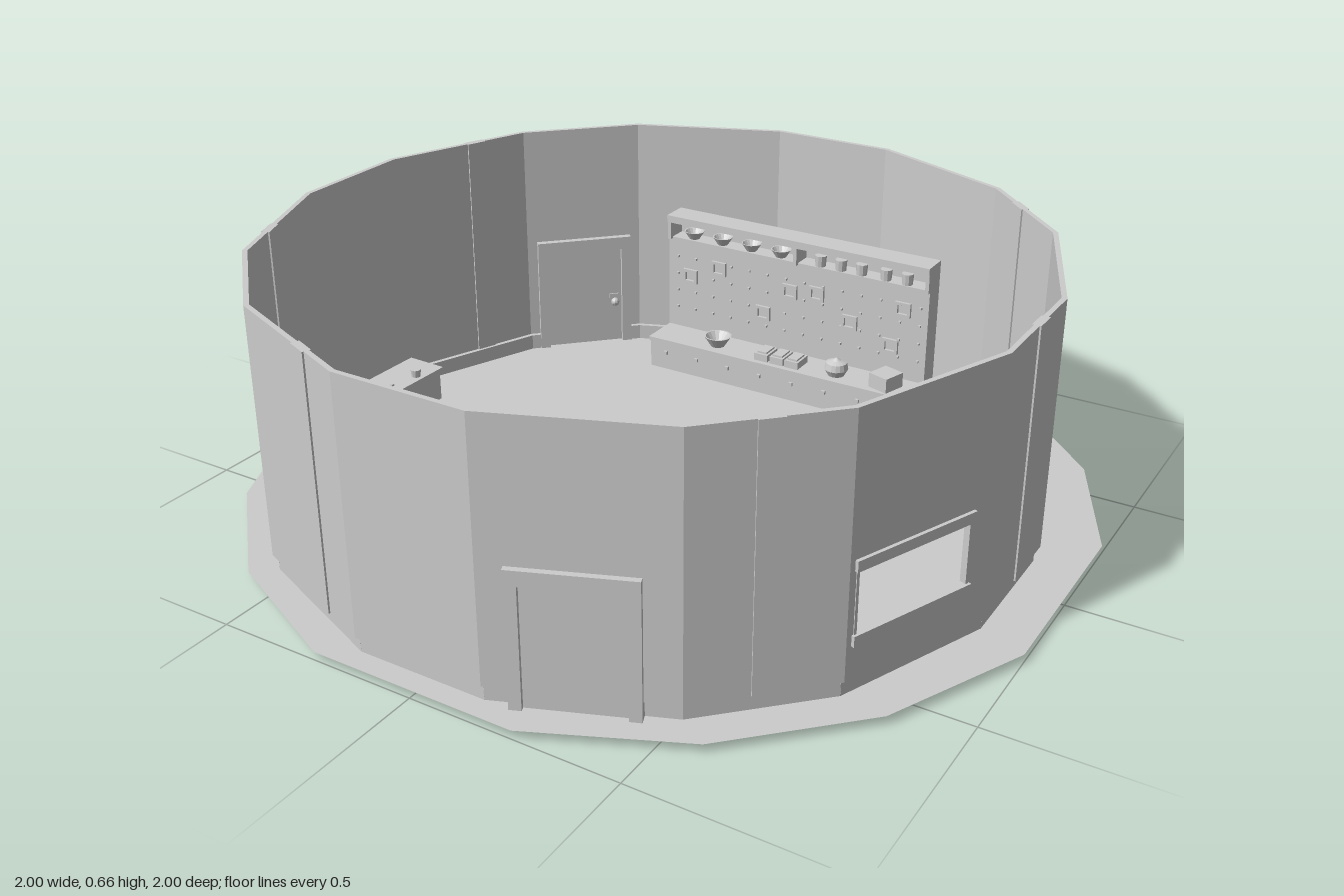
import * as THREE from 'three';

const grey = new THREE.MeshStandardMaterial({ color: 0xcccccc, side: THREE.DoubleSide, flatShading: true });
grey.name = 'plain grey';

const mesh = (name, geo, x = 0, y = 0, z = 0) => {
  const m = new THREE.Mesh(geo, grey);
  m.name = name;
  m.position.set(x, y, z);
  return m;
};
// box given by its lower and upper corner
const box = (name, x0, x1, y0, y1, z0, z1) =>
  mesh(name, new THREE.BoxGeometry(x1 - x0, y1 - y0, z1 - z0), (x0 + x1) / 2, (y0 + y1) / 2, (z0 + z1) / 2);
const group = (name, x = 0, y = 0, z = 0) => {
  const g = new THREE.Group();
  g.name = name;
  g.position.set(x, y, z);
  return g;
};
const poly = pts => new THREE.Shape(pts.map(p => new THREE.Vector2(p[0], p[1])));
const lathe = (pts, sides = 16) => new THREE.LatheGeometry(pts.map(p => new THREE.Vector2(p[0], p[1])), sides);

// sixteen corners from two points of one eighth, mirrored round the circle
function ring(far, near, mid, midNear) {
  const q = [[far, near], [mid, midNear], [midNear, mid], [near, far]];
  const out = [];
  for (let k = 0; k < 4; k++) {
    const c = [1, 0, -1, 0][k], s = [0, 1, 0, -1][k];
    q.forEach(([x, z]) => out.push([x * c - z * s, x * s + z * c]));
  }
  return out;
}

const DOOR_W = 0.106, WALL_BASE = 0.06, WALL_TOP = 0.66;

function door(x) {
  const g = group('door', x);
  for (const s of [-1, 1]) {
    const a = s * DOOR_W, b = s * 0.133;
    g.add(box('doorPost', Math.min(a, b), Math.max(a, b), 0, 0.31, -0.028, 0.012));
  }
  g.add(box('doorLintel', -0.133, 0.133, 0.305, 0.34, -0.03, 0.014));
  g.add(box('doorLeaf', -DOOR_W, DOOR_W, 0.015, 0.305, -0.014, 0));
  g.add(box('handlePlate', -0.098, -0.072, 0.12, 0.165, -0.018, -0.014));
  g.add(mesh('doorKnob', new THREE.SphereGeometry(0.012, 10, 8), -0.085, 0.145, -0.03));
  return g;
}

function wallSegment(A, B, i) {
  const dx = B[0] - A[0], dz = B[1] - A[1], L = Math.hypot(dx, dz), h = L / 2;
  const g = group('wallSegment', (A[0] + B[0]) / 2, 0, (A[1] + B[1]) / 2);
  g.rotation.y = Math.atan2(dz, -dx);
  const isDoor = i === 3 || i === 10, isWindow = i === 1;
  const dxo = i === 3 ? -0.01 : 0;

  // wall panel, notched for a door or pierced for a window
  const notch = isDoor ? [[dxo + DOOR_W, WALL_BASE], [dxo + DOOR_W, 0.31], [dxo - DOOR_W, 0.31], [dxo - DOOR_W, WALL_BASE]] : [];
  const shape = poly([[h, WALL_TOP], [-h, WALL_TOP], [-h, WALL_BASE], ...notch.reverse(), [h, WALL_BASE]]);
  if (isWindow) shape.holes.push(new THREE.Path(
    [[-0.177, 0.16], [-0.177, 0.315], [0.123, 0.315], [0.123, 0.16]].map(p => new THREE.Vector2(...p))));
  g.add(mesh('wallPanel', new THREE.ExtrudeGeometry(shape, { depth: 0.012, bevelEnabled: false }), 0, 0, -0.012));

  // skirting, interrupted by the doorway
  const hs = h - 0.002;
  const spans = isDoor ? [[-hs, dxo - 0.133], [dxo + 0.133, hs]] : [[-hs, hs]];
  spans.forEach(([a, b]) => g.add(box('skirting', a, b, 0.02, WALL_BASE + 0.001, -0.024, -0.012)));

  if (isDoor) g.add(door(dxo));
  if (isWindow) {
    g.add(box('windowSill', -0.187, 0.133, 0.14, 0.165, -0.022, 0.008));
    g.add(box('windowLintel', -0.187, 0.133, 0.31, 0.335, -0.022, 0.008));
    for (const x of [-0.183, 0.122]) g.add(box('windowJamb', x, x + 0.007, 0.16, 0.315, -0.014, 0.002));
  }

  // narrow vertical cover strips
  const strip = { 0: 0.02, 2: 0, 5: 0.06, 7: 0.05, 9: -0.05, 14: 0.03 }[i];
  if (strip !== undefined) g.add(box('coverStrip', strip - 0.027, strip + 0.027, WALL_BASE, WALL_TOP, -0.016, 0.004));
  return g;
}

const bowl = (r, h) => lathe([[0, 0], [r * 0.5, 0], [r, h], [r * 0.88, h], [r * 0.45, h * 0.25], [0, h * 0.25]]);

function workbench() {
  const g = group('workbench');
  g.add(box('counter', -0.4, 0.38, 0.02, 0.11, -0.7, -0.55));
  g.add(box('counterTop', -0.4, 0.38, 0.1, 0.112, -0.7, -0.54));
  g.add(box('pegBoard', -0.4, 0.38, 0.1, 0.375, -0.71, -0.65));
  g.add(box('shelfBack', -0.4, 0.38, 0.37, 0.425, -0.71, -0.7));
  g.add(box('topBoard', -0.4, 0.38, 0.42, 0.44, -0.71, -0.637));
  for (const x of [-0.4, -0.01, 0.37]) g.add(box('shelfDivider', x, x + 0.01, 0.37, 0.425, -0.71, -0.64));
  // bowls and cups in the shelf
  [-0.33, -0.24, -0.15, -0.06].forEach(x => g.add(mesh('shelfBowl', bowl(0.028, 0.022), x, 0.376, -0.668)));
  [0.06, 0.12, 0.18, 0.25, 0.31].forEach(x =>
    g.add(mesh('shelfCup', new THREE.CylinderGeometry(0.016, 0.014, 0.03, 10), x, 0.39, -0.665)));
  // pegs and small frames on the board
  for (let r = 0; r < 4; r++) for (let c = 0; c < 14; c++)
    g.add(box('peg', -0.372 + c * 0.056, -0.366 + c * 0.056, 0.17 + r * 0.05, 0.176 + r * 0.05, -0.65, -0.642));
  [[-0.33, 0.27], [-0.24, 0.31], [-0.1, 0.21], [-0.02, 0.29], [0.06, 0.3], [0.16, 0.24], [0.28, 0.2], [0.31, 0.31]]
    .forEach(([x, y]) => {
      const s = poly([[-0.022, -0.02], [0.022, -0.02], [0.022, 0.02], [-0.022, 0.02]]);
      s.holes.push(poly([[-0.014, -0.012], [-0.014, 0.012], [0.014, 0.012], [0.014, -0.012]]));
      g.add(mesh('boardFrame', new THREE.ExtrudeGeometry(s, { depth: 0.008, bevelEnabled: false }), x, y, -0.65));
    });
  // drawer knobs
  for (let c = 0; c < 8; c++) g.add(box('drawerKnob', -0.355 + c * 0.098, -0.345 + c * 0.098, 0.065, 0.075, -0.55, -0.543));
  // things on the counter
  g.add(mesh('bigBowl', bowl(0.038, 0.03), -0.205, 0.112, -0.585));
  [-0.055, -0.008, 0.037].forEach(x => {
    g.add(box('tray', x - 0.02, x + 0.02, 0.112, 0.132, -0.615, -0.555));
    g.add(box('trayFill', x - 0.014, x + 0.014, 0.132, 0.137, -0.608, -0.562));
  });
  g.add(mesh('pot', lathe([[0, 0], [0.022, 0], [0.032, 0.018], [0.028, 0.036], [0.012, 0.042], [0, 0.05]]), 0.157, 0.112, -0.585));
  const crate = mesh('crate', new THREE.BoxGeometry(0.06, 0.04, 0.065), 0.3, 0.132, -0.585);
  crate.rotation.y = -0.3;
  g.add(crate);
  return g;
}

function sideTable() {
  const g = group('sideTable', -0.824, 0, 0.062);
  g.rotation.y = -0.03;
  g.add(box('tableBody', -0.05, 0.05, 0.02, 0.1, -0.135, 0.135));
  g.add(box('tableTop', -0.056, 0.056, 0.1, 0.112, -0.142, 0.142));
  g.add(mesh('tableCup', new THREE.CylinderGeometry(0.014, 0.012, 0.02, 10), 0.033, 0.122, -0.06));
  [[0.02, 0.02], [0, 0.05], [0.03, 0.08], [-0.01, 0.1], [0.02, 0.12]].forEach(([x, z]) =>
    g.add(box('tableScrap', x - 0.004, x + 0.004, 0.112, 0.117, z - 0.004, z + 0.004)));
  return g;
}

const hearthOutline = [[-0.08, -0.14], [0.08, -0.14], [0.12, -0.115], [0.138, -0.07], [0.138, 0.04], [0.115, 0.095],
  [0.06, 0.13], [0, 0.14], [-0.06, 0.13], [-0.115, 0.095], [-0.138, 0.04], [-0.138, -0.07], [-0.12, -0.115]];

function hearth() {
  const g = group('hearth');
  // raised kerb, hollow from beneath
  const kerb = poly(hearthOutline);
  kerb.holes.push(poly(hearthOutline.map(p => [p[0] * 0.97, p[1] * 0.97])));
  const flat = (s, d) => new THREE.ExtrudeGeometry(s, { depth: d, bevelEnabled: false }).rotateX(Math.PI / 2);
  g.add(mesh('hearthKerb', flat(kerb, 0.04), 0, 0.06, 0));
  g.add(mesh('hearthSlab', flat(poly(hearthOutline), 0.008), 0, 0.066, 0));
  // round stove with an open collar
  g.add(mesh('stove', lathe([[0.095, 0], [0.095, 0.02], [0.075, 0.03], [0.07, 0.06], [0.055, 0.075],
    [0.055, 0.1], [0.04, 0.1], [0.04, 0.07], [0, 0.07]], 20), -0.01, 0.066, 0.05));
  return g;
}

export function createModel() {
  const model = group('roundRoom');
  // thin floor with an opening under the hearth
  const floor = poly(ring(1, 0.25, 0.845, 0.585).map(([x, z]) => [x, z]));
  floor.holes.push(poly(hearthOutline.map(p => [p[0] * 0.97, p[1] * 0.97])));
  model.add(mesh('floor', new THREE.ShapeGeometry(floor).rotateX(Math.PI / 2), 0, 0.02, 0));

  // ring of wall segments, starting with the one facing +x
  const c = ring(0.91, 0.16, 0.76, 0.53);
  const corners = [c[15], ...c.slice(0, 15)];
  // put the corner before +x first
  while (!(corners[0][0] > 0.9 && corners[0][1] < 0)) corners.push(corners.shift());
  const walls = group('walls', -0.01, 0, 0.05);
  corners.forEach((p, i) => walls.add(wallSegment(p, corners[(i + 1) % 16], i)));
  model.add(walls, workbench(), sideTable(), hearth());
  return model;
}
